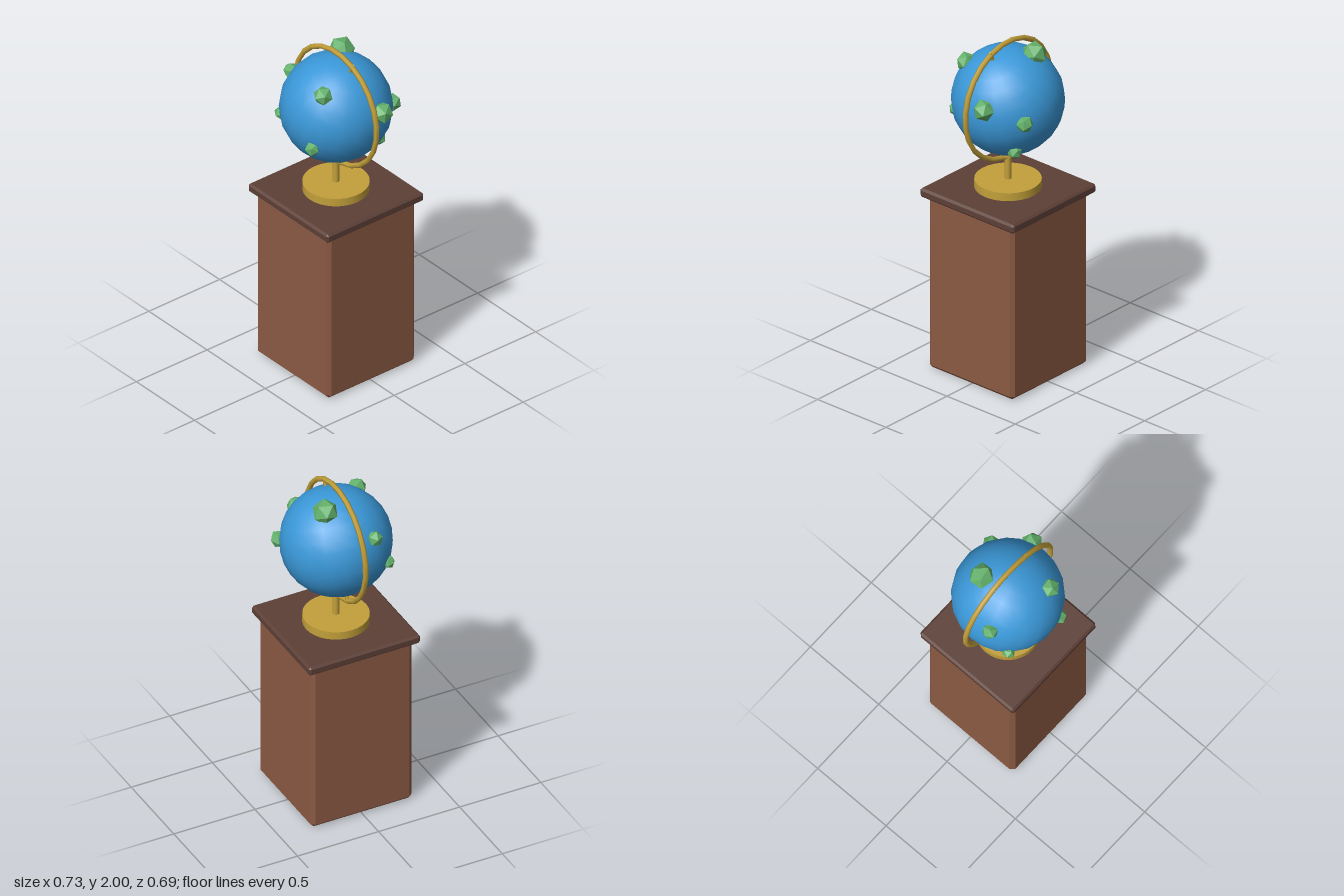
import * as THREE from 'three';
import { ConvexGeometry } from 'three/addons/geometries/ConvexGeometry.js';

const mat = (name, color) => {
  const m = new THREE.MeshStandardMaterial({ color });
  m.name = name;
  return m;
};

// Box with chamfered edges, standing on y = 0
function chamferBox(w, h, d, c) {
  const points = [];
  for (const x of [-1, 1]) for (const y of [-1, 1]) for (const z of [-1, 1]) {
    for (let axis = 0; axis < 3; axis++) {
      const inset = [c, c, c];
      inset[axis] = 0;
      points.push(new THREE.Vector3(
        x * (w / 2 - inset[0]), h / 2 + y * (h / 2 - inset[1]), z * (d / 2 - inset[2])));
    }
  }
  return new ConvexGeometry(points);
}

export function createModel() {
  const model = new THREE.Group();
  model.name = 'globeOnPedestal';
  const wood = mat('wood', 0x8b5a43);
  const darkWood = mat('darkWood', 0x5d4037);
  const brass = mat('brass', 0xc2a03a);
  const ocean = mat('ocean', 0x3a98d8);
  const land = mat('land', 0x62b06a);
  land.flatShading = true;

  const add = (parent, name, geometry, material, x = 0, y = 0, z = 0) => {
    const mesh = new THREE.Mesh(geometry, material);
    mesh.name = name;
    mesh.position.set(x, y, z);
    parent.add(mesh);
    return mesh;
  };

  // Pedestal
  add(model, 'pedestalBody', chamferBox(0.624, 1.085, 0.624, 0.022), wood);
  add(model, 'pedestalTop', chamferBox(0.686, 0.055, 0.686, 0.012), darkWood, 0, 1.045);

  // Brass stand
  add(model, 'standBase', new THREE.CylinderGeometry(0.185, 0.185, 0.05, 32), brass, 0, 1.123);
  add(model, 'standStem', new THREE.CylinderGeometry(0.019, 0.019, 0.17, 10), brass, 0, 1.22);
  add(model, 'standCollar', new THREE.CylinderGeometry(0.045, 0.045, 0.027, 16), brass, 0, 1.307);

  // Globe, ring and axle share one tilt
  const globe = new THREE.Group();
  globe.name = 'globe';
  globe.position.y = 1.635;
  model.add(globe);
  const tilted = new THREE.Group();
  tilted.name = 'tiltedParts';
  tilted.rotation.z = -0.41;
  globe.add(tilted);
  add(tilted, 'sphere', new THREE.SphereGeometry(0.313, 20, 14), ocean);
  add(tilted, 'meridianRing', new THREE.TorusGeometry(0.35, 0.0155, 6, 24), brass);
  add(tilted, 'axle', new THREE.CylinderGeometry(0.01, 0.01, 0.73, 5), brass);

  // Faceted land lumps: direction from the globe's centre, then radius
  const lumps = [
    [-0.09, 0.285, -0.115, 0.075],
    [0.13, 0.215, 0.2, 0.056],
    [-0.27, 0.145, 0.105, 0.047],
    [0.31, 0.072, -0.09, 0.063],
    [0.17, -0.005, -0.28, 0.05],
    [-0.23, -0.075, 0.21, 0.038],
    [0.125, -0.11, 0.275, 0.043],
    [0.15, -0.215, -0.185, 0.041],
  ];
  lumps.forEach(([x, y, z, r], i) => {
    const p = new THREE.Vector3(x, y, z).setLength(0.313);
    const lump = add(globe, 'land' + (i + 1), new THREE.IcosahedronGeometry(r, 0), land, p.x, p.y, p.z);
    lump.rotation.set(i * 1.3 + 0.3, i * 0.9 + 0.2, i * 0.5);
  });

  return model;
}
